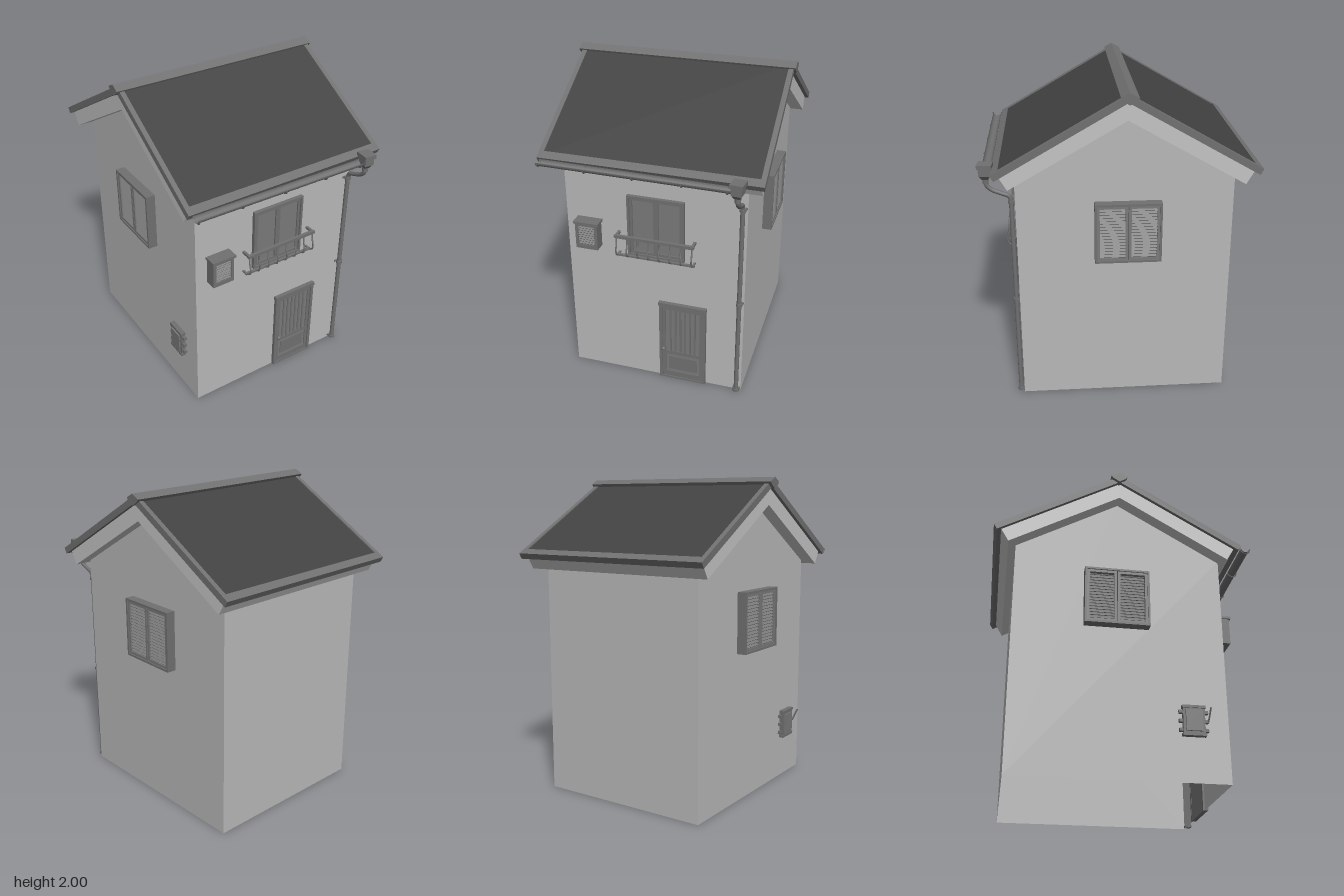
import * as THREE from 'three';

const mat = (name, color, side = THREE.FrontSide) => {
  const m = new THREE.MeshStandardMaterial({ color, side });
  m.name = name;
  return m;
};

export function createModel() {
  const house = new THREE.Group();
  house.name = 'house';
  const plaster = mat('plaster', 0xb8b8b8, THREE.DoubleSide);
  const board = mat('boarding', 0xc4c4c4);
  const slate = mat('slate', 0x424242);
  const trim = mat('trim', 0x707070, THREE.DoubleSide);
  const panel = mat('panel', 0x7a7a7a);

  const group = (name, parent = house) => {
    const g = new THREE.Group();
    g.name = name;
    parent.add(g);
    return g;
  };
  const add = (name, geo, m, parent = house) => {
    const mesh = new THREE.Mesh(geo, m);
    mesh.name = name;
    parent.add(mesh);
    return mesh;
  };
  // box given by its limits
  const box = (name, x0, x1, y0, y1, z0, z1, m, parent) => {
    const b = add(name, new THREE.BoxGeometry(x1 - x0, y1 - y0, z1 - z0), m, parent);
    b.position.set((x0 + x1) / 2, (y0 + y1) / 2, (z0 + z1) / 2);
    return b;
  };
  const tube = (name, pts, r, m, parent, seg = 20) => add(name, new THREE.TubeGeometry(
    new THREE.CatmullRomCurve3(pts.map(p => new THREE.Vector3(...p))), seg, r, 10), m, parent);
  const cyl = (name, r0, r1, h, x, y, z, m, parent, sides = 14) => {
    const c = add(name, new THREE.CylinderGeometry(r0, r1, h, sides), m, parent);
    c.position.set(x, y, z);
    return c;
  };
  // profile of [z, y] points stretched from x0 to x1
  const prism = (name, pts, x0, x1, m, parent) => {
    const shape = new THREE.Shape(pts.map(([z, y]) => new THREE.Vector2(-z, y)));
    const geo = new THREE.ExtrudeGeometry(shape, { depth: x1 - x0, bevelEnabled: false });
    geo.rotateY(Math.PI / 2).translate(x0, 0, 0);
    return add(name, geo, m, parent);
  };

  // Walls, open underneath
  const X = 0.565, ZF = 0.612, ZB = -0.68, RZ = -0.04, S = 0.577;
  const walls = group('walls');
  const eave = 1.47;
  for (const s of [1, -1]) {
    const shape = new THREE.Shape([[ZB, 0], [ZF, 0], [ZF, eave], [RZ, 1.86], [ZB, eave]]
      .map(([z, y]) => new THREE.Vector2(-s * z, y)));
    const gable = add(s > 0 ? 'leftGable' : 'rightGable', new THREE.ShapeGeometry(shape), plaster, walls);
    gable.rotation.y = s * Math.PI / 2;
    gable.position.x = s * X;
    const wall = add(s > 0 ? 'frontWall' : 'backWall', new THREE.PlaneGeometry(2 * X, eave), plaster, walls);
    wall.position.set(0, eave / 2, s > 0 ? ZF : ZB);
    if (s < 0) wall.rotation.y = Math.PI;
  }

  // Roof: boarding, slate and raised trim on both slopes
  const roof = group('roof');
  const cos = 1 / Math.hypot(1, S), sin = S * cos;
  const band = (name, side, h0, h1, apex, t, x0, x1, m) => prism(name, [
    [h0, apex - S * h0], [h1, apex - S * h1],
    [h1 - t * sin, apex - S * h1 - t * cos], [h0, apex - S * h0 - t / cos],
  ].map(([h, y]) => [RZ + side * h, y]), x0, x1, m, roof);
  for (const side of [1, -1]) {
    band('roofBoarding', side, 0, 0.735, 1.945, 0.096, -0.653, 0.65, board);
    band('roofSlope', side, 0, 0.75, 1.98, 0.03, -0.65, 0.65, slate);
    band('eaveTrim', side, 0.735, 0.78, 1.987, 0.04, -0.65, 0.65, trim);
    for (const e of [1, -1])
      band('vergeTrim', side, 0, 0.78, 1.987, 0.04, e > 0 ? 0.645 : -0.675, e > 0 ? 0.675 : -0.645, trim);
  }
  prism('ridgeCap', [[RZ - 0.005, 2], [RZ + 0.045, 1.972], [RZ + 0.035, 1.955], [RZ - 0.005, 1.93],
    [RZ - 0.045, 1.955], [RZ - 0.058, 1.972]], -0.695, 0.69, trim, roof);

  // Gutter, hopper and downpipe
  const drain = group('drainage');
  const gutterGeo = new THREE.CylinderGeometry(0.028, 0.028, 1.17, 14, 1, true, -Math.PI / 2, Math.PI);
  gutterGeo.rotateX(-Math.PI / 2).rotateZ(Math.PI).rotateY(Math.PI / 2);
  // keep the open side of the half pipe upward
  gutterGeo.computeBoundingBox();
  if (gutterGeo.boundingBox.max.y > 0.01) gutterGeo.rotateX(Math.PI);
  const gutter = add('gutter', gutterGeo, trim, drain);
  gutter.position.set(-0.07, 1.526, 0.772);
  gutter.rotation.z = -0.01;
  for (const x of [-0.645, -0.36, -0.07, 0.22, 0.48]) {
    const b = add('gutterBracket', new THREE.TorusGeometry(0.03, 0.004, 6, 12, Math.PI), trim, drain);
    b.rotation.set(Math.PI, Math.PI / 2, 0, 'YXZ');
    b.position.set(x, 1.523 - x * 0.01, 0.772);
  }
  const PX = 0.538, PZ = 0.634;
  const hopper = group('hopper', drain);
  hopper.position.set(PX, 0, 0.775);
  hopper.rotation.y = -0.1;
  box('hopperRim', -0.039, 0.039, 1.54, 1.565, -0.043, 0.043, trim, hopper);
  box('hopperBody', -0.031, 0.031, 1.495, 1.545, -0.035, 0.035, trim, hopper);
  const funnel = cyl('hopperFunnel', 0.044, 0.024, 0.025, 0, 1.483, 0, trim, hopper, 4);
  funnel.rotation.y = Math.PI / 4;
  cyl('hopperNeck', 0.018, 0.018, 0.03, 0, 1.46, 0, trim, hopper);
  tube('swanNeck', [[PX, 1.48, 0.775], [PX, 1.435, 0.772], [PX, 1.405, 0.745], [PX, 1.38, 0.69],
    [PX, 1.36, 0.645], [PX, 1.325, PZ]], 0.013, trim, drain, 30);
  cyl('downpipe', 0.014, 0.014, 1.33, PX, 0.668, PZ, trim, drain);
  for (const y of [1.325, 0.675, 0.015]) {
    cyl('pipeCollar', 0.02, 0.02, 0.018, PX, y, PZ, trim, drain);
    box('pipeClip', PX - 0.024, PX + 0.024, y - 0.006, y + 0.006, 0.608, 0.62, trim, drain);
  }

  // Louvred shutters on both gables
  for (const s of [1, -1]) {
    const w = group(s > 0 ? 'leftShutters' : 'rightShutters');
    const bx = (n, a, b, y0, y1, z0, z1, m) =>
      box(n, Math.min(s * a, s * b), Math.max(s * a, s * b), y0, y1, z0, z1, m, w);
    const z0 = -0.25, z1 = 0.15, y0 = 0.942, y1 = 1.32, f = 0.013, mid = -0.05;
    bx('shutterBack', 0.56, 0.59, y0, y1, z0, z1, trim);
    for (const [a, b] of [[z0, z0 + f], [z1 - f, z1]]) bx('frameSide', 0.56, 0.625, y0, y1, a, b, trim);
    for (const [a, b] of [[y0, y0 + f], [y1 - f, y1]]) bx('frameRail', 0.56, 0.625, a, b, z0 + f, z1 - f, trim);
    for (const [a, b] of [[z0 + f, mid - 0.002], [mid + 0.002, z1 - f]]) {
      for (const [c, d] of [[a, a + 0.016], [b - 0.016, b]]) bx('leafStile', 0.585, 0.618, y0 + f, y1 - f, c, d, panel);
      for (const [c, d] of [[y0 + f, y0 + 0.03], [y1 - 0.03, y1 - f]]) bx('leafRail', 0.585, 0.618, c, d, a, b, panel);
      for (let i = 0; i < 16; i++) {
        const y = y0 + 0.04 + i * 0.0199;
        const slat = bx('slat', 0.592, 0.616, y - 0.002, y + 0.002, a + 0.014, b - 0.014, panel);
        slat.rotation.z = -s * 0.7;
      }
    }
  }

  // Front door with vertical planks
  const door = group('frontDoor');
  box('doorLeaf', 0.045, 0.31, 0, 0.565, 0.602, 0.62, panel, door);
  for (const [a, b] of [[0.025, 0.045], [0.31, 0.33]]) box('doorJamb', a, b, 0, 0.575, 0.6, 0.634, trim, door);
  box('doorHead', 0.022, 0.333, 0.565, 0.587, 0.6, 0.638, trim, door);
  box('threshold', 0.045, 0.31, 0, 0.012, 0.61, 0.632, trim, door);
  for (const [a, b] of [[0.045, 0.066], [0.289, 0.31]]) box('doorStile', a, b, 0.012, 0.565, 0.615, 0.626, trim, door);
  for (const [a, b] of [[0.012, 0.05], [0.19, 0.215], [0.535, 0.565]])
    box('doorRail', 0.066, 0.289, a, b, 0.615, 0.626, trim, door);
  for (let i = 0; i < 6; i++) {
    const x = 0.098 + i * 0.032;
    box('doorPlank', x - 0.006, x + 0.006, 0.215, 0.535, 0.618, 0.625, trim, door);
  }
  box('lowerPanel', 0.085, 0.27, 0.07, 0.17, 0.618, 0.624, trim, door);
  add('doorKnob', new THREE.SphereGeometry(0.013, 14, 10), trim, door).position.set(0.054, 0.238, 0.642);

  // Balcony window
  const win = group('balconyWindow');
  box('windowPane', -0.16, 0.185, 0.91, 1.305, 0.605, 0.617, panel, win);
  for (const [a, b] of [[-0.167, -0.153], [0.177, 0.191]]) box('windowSide', a, b, 0.905, 1.31, 0.605, 0.636, trim, win);
  for (const [a, b] of [[0.905, 0.918], [1.297, 1.311]]) box('windowRail', -0.167, 0.191, a, b, 0.605, 0.636, trim, win);
  for (const c of [-0.07, 0.094]) {
    for (const e of [-1, 1]) box('sashStile', c + e * 0.074 - 0.008, c + e * 0.074 + 0.008, 0.918, 1.297, 0.61, 0.626, trim, win);
    for (const y of [0.926, 1.289]) box('sashRail', c - 0.074, c + 0.074, y - 0.008, y + 0.008, 0.61, 0.626, trim, win);
  }

  // Bellied balcony railing
  const rail = group('balconyRailing');
  box('handRail', -0.237, 0.262, 1.036, 1.055, 0.662, 0.682, trim, rail);
  box('footRail', -0.235, 0.26, 0.898, 0.91, 0.64, 0.656, trim, rail);
  for (let i = 0; i < 8; i++) {
    const x = -0.225 + i * 0.475 / 7;
    tube('baluster', [[x, 1.045, 0.672], [x, 1.0, 0.675], [x, 0.95, 0.688], [x, 0.918, 0.678], [x, 0.904, 0.648]],
      0.005, trim, rail, 14);
  }
  for (const x of [-0.227, 0.252]) {
    box('railReturn', x - 0.008, x + 0.008, 1.038, 1.053, 0.605, 0.67, trim, rail);
    box('footReturn', x - 0.006, x + 0.006, 0.899, 0.909, 0.605, 0.65, trim, rail);
  }

  // Vent box on the front wall
  const vent = group('ventBox');
  box('ventBody', -0.487, -0.345, 0.93, 1.1, 0.605, 0.672, trim, vent);
  box('ventCap', -0.495, -0.335, 1.1, 1.115, 0.605, 0.694, trim, vent);
  for (const [a, b] of [[-0.487, -0.468], [-0.364, -0.345]]) box('ventSide', a, b, 0.93, 1.1, 0.67, 0.685, trim, vent);
  for (const [a, b] of [[0.93, 0.957], [1.085, 1.1]]) box('ventRail', -0.468, -0.364, a, b, 0.67, 0.685, trim, vent);
  for (let i = 0; i < 8; i++) {
    const y = 0.967 + i * 0.0155;
    box('ventSlat', -0.468, -0.364, y - 0.002, y + 0.002, 0.668, 0.684, panel, vent).rotation.x = 0.6;
  }

  // Small hatch with lever on the right wall
  const hatch = group('wallHatch');
  box('hatchBody', -0.592, -0.555, 0.285, 0.445, 0.335, 0.465, trim, hatch);
  box('hatchCover', -0.602, -0.59, 0.3, 0.43, 0.35, 0.45, panel, hatch);
  for (const y of [0.28, 0.45]) box('hatchRim', -0.597, -0.56, y - 0.008, y + 0.008, 0.33, 0.47, trim, hatch);
  for (const y of [0.31, 0.365, 0.42])
    for (const z of [0.325, 0.475]) box('hatchLug', -0.585, -0.555, y - 0.01, y + 0.01, z - 0.012, z + 0.012, trim, hatch);
  tube('lever', [[-0.585, 0.36, 0.485], [-0.6, 0.395, 0.49], [-0.62, 0.44, 0.495]], 0.005, trim, hatch, 8);

  return house;
}
